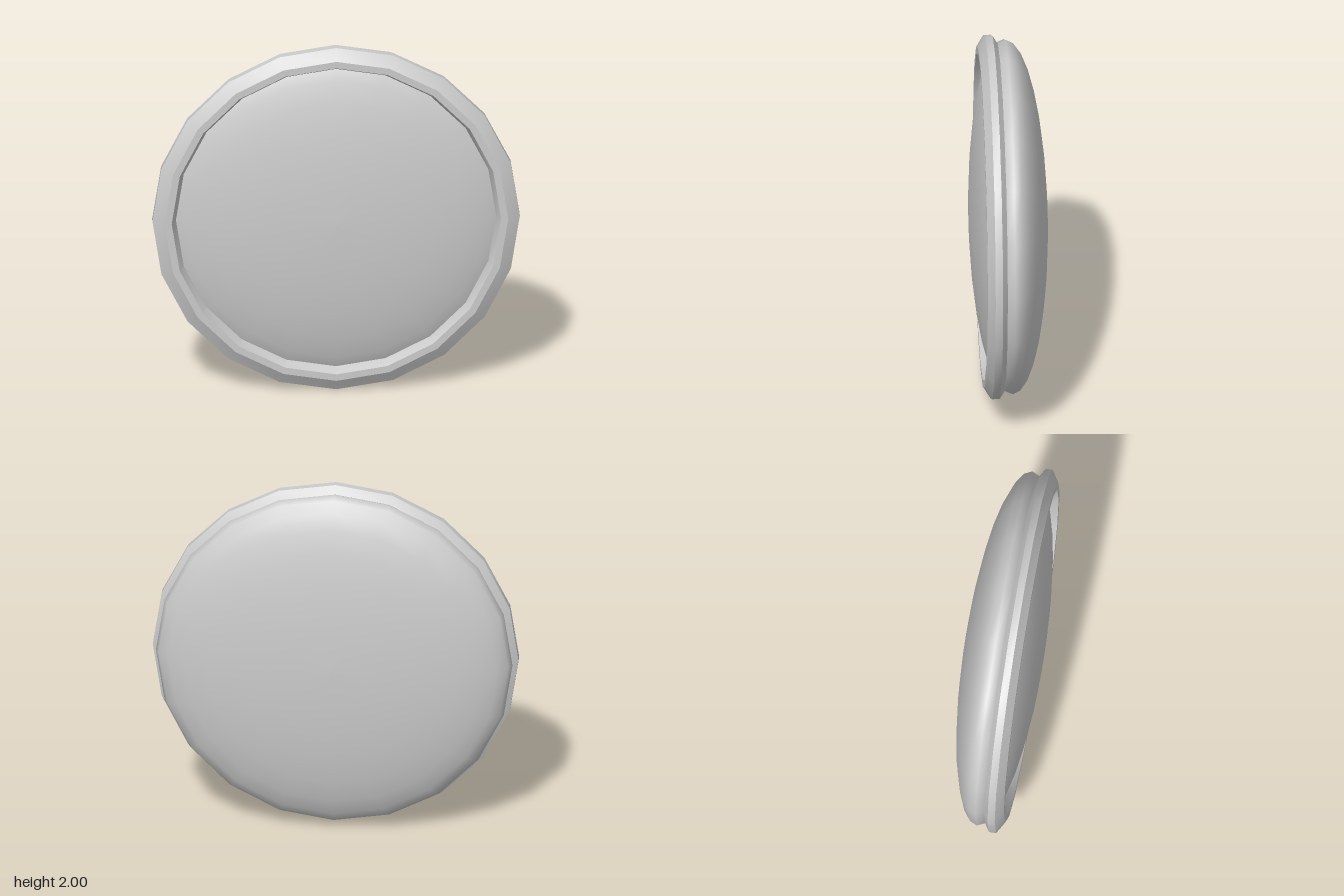
import * as THREE from 'three';
import { toCreasedNormals } from 'three/addons/utils/BufferGeometryUtils.js';

const SIDES = 20;

// Turns a [radius, z] profile around the z axis
function turned(name, profile, crease) {
  const points = profile.map(([r, z]) => new THREE.Vector2(r, z));
  let geometry = new THREE.LatheGeometry(points, SIDES).rotateX(Math.PI / 2);
  if (crease) geometry = toCreasedNormals(geometry, crease);
  const mesh = new THREE.Mesh(geometry, new THREE.MeshStandardMaterial({ color: 0xcccccc }));
  mesh.name = name;
  mesh.position.y = 1;
  return mesh;
}

export function createModel() {
  const group = new THREE.Group();
  group.name = 'rimmedDisc';

  // Flattened ellipsoid body, smooth, with its poles at the front and back
  const rings = 16;
  const bodyProfile = [];
  for (let i = 0; i <= rings; i++) {
    const a = (i / rings) * Math.PI;
    bodyProfile.push([0.975 * Math.sin(a), -0.213 * Math.cos(a)]);
  }
  group.add(turned('body', bodyProfile));

  // Bevelled rim set towards the front
  group.add(turned('rim', [
    [0.87, 0.03], [0.935, 0.03], [1, 0.07], [1, 0.11],
    [0.935, 0.15], [0.897, 0.15], [0.87, 0.09], [0.87, 0.03],
  ], 0.45));

  return group;
}
